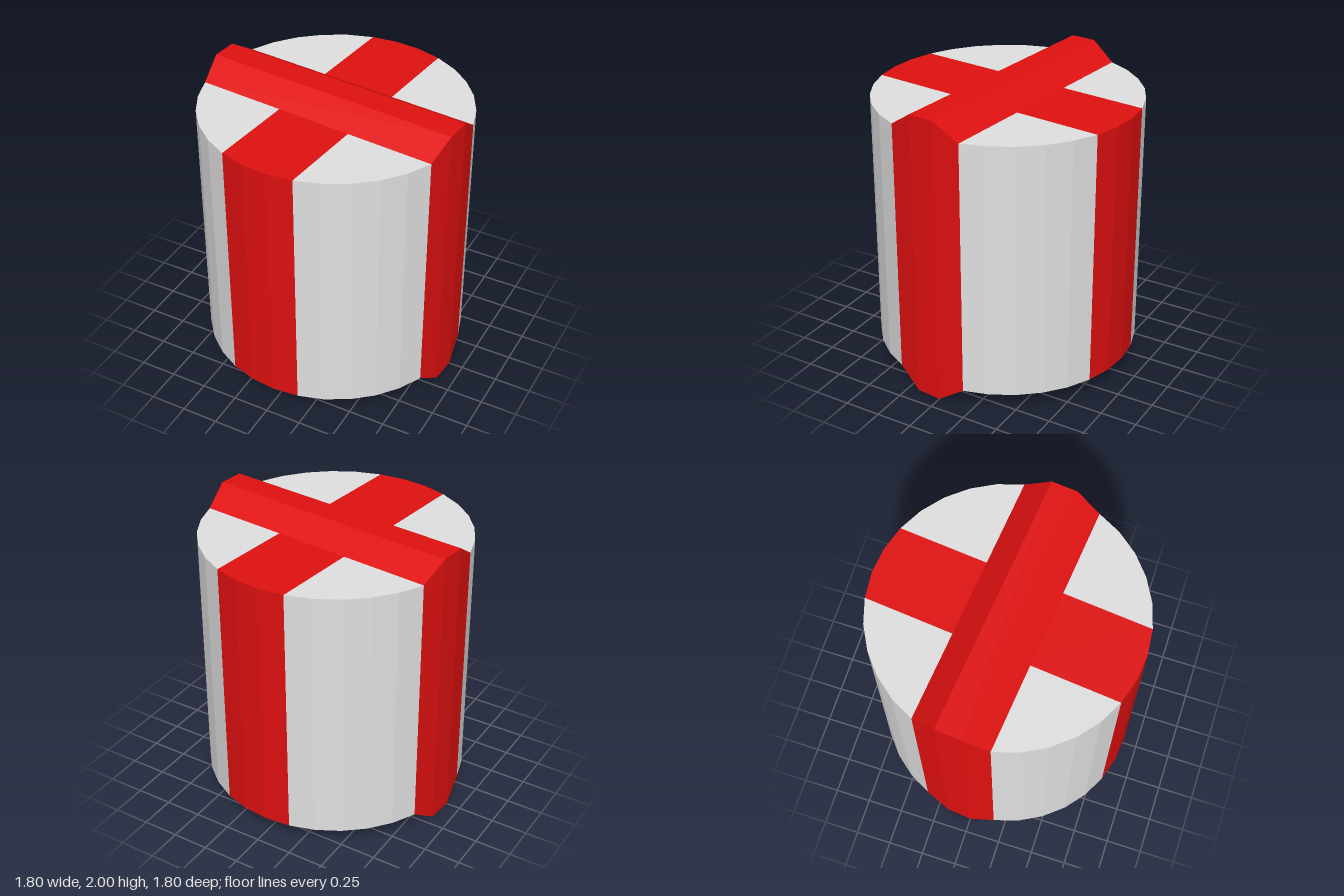
import * as THREE from 'three';

const SIDES = 32, RADIUS = 0.9, LOW = 0.115, HIGH = 1.885;

// Point at a fractional side index, turning from +x towards +z
const at = (i, y, r = RADIUS) => {
  const a = (i / SIDES) * Math.PI * 2;
  return new THREE.Vector3(Math.cos(a) * r, y, Math.sin(a) * r);
};

// Radius where the edges of two crossing bands meet
const CROSS = RADIUS * Math.cos((6.5 / SIDES) * Math.PI * 2) * Math.SQRT2;

// The ridge rises above the caps on the two middle corners of each end
const rise = (i) => ([0, 1, 16, 17].includes(i) ? LOW : 0);

// Flat-shaded mesh from convex polygons, each fanned from its first point
function polyMesh(name, polygons, material) {
  const points = [];
  for (const p of polygons) {
    for (let i = 1; i < p.length - 1; i++) points.push(p[0], p[i], p[i + 1]);
  }
  const geometry = new THREE.BufferGeometry().setFromPoints(points);
  geometry.computeVertexNormals();
  const mesh = new THREE.Mesh(geometry, material);
  mesh.name = name;
  return mesh;
}

// Wall facets between two side indices
function wall(from, to, lift = () => 0) {
  const quads = [];
  for (let i = from; i < to; i++) {
    quads.push([
      at(i, LOW - lift(i)), at(i, HIGH + lift(i)),
      at(i + 1, HIGH + lift(i + 1)), at(i + 1, LOW - lift(i + 1)),
    ]);
  }
  return quads;
}

// One flat outline made into a top and a bottom face
const caps = (outline) => [outline(HIGH).reverse(), outline(LOW)];

function rim(from, to, y) {
  const pts = [];
  for (let i = from; i <= to; i++) pts.push(at(i, y));
  return pts;
}

export function createModel() {
  const group = new THREE.Group();
  group.name = 'bandedDrum';
  const grey = new THREE.MeshStandardMaterial({ color: 0xe0e0e0 });
  grey.name = 'lightGrey';
  const red = new THREE.MeshStandardMaterial({ color: 0xe01010 });
  red.name = 'red';

  // Four grey quarters of the drum
  for (let k = 0; k < 4; k++) {
    const s = 8 * k;
    group.add(polyMesh('drumQuarter', [
      ...wall(s + 2, s + 7),
      ...caps((y) => [at(s + 4.5, y, CROSS), ...rim(s + 2, s + 7, y)]),
    ], grey));
  }

  // Flush red band on the front and back
  for (const s of [8, 24]) {
    group.add(polyMesh('flushBand', [
      ...wall(s - 1, s + 2),
      ...caps((y) => [at(s - 3.5, y, CROSS), ...rim(s - 1, s + 2, y), at(s + 4.5, y, CROSS)]),
    ], red));
  }

  // Red band on the sides, raised into a bevelled ridge over both caps
  const ridge = [...wall(-1, 2, rise), ...wall(15, 18, rise)];
  for (let i = -1; i < 2; i++) {
    const corners = [i, 17 - i, 16 - i, i + 1];
    ridge.push(corners.map((c) => at(c, HIGH + rise(c))));
    ridge.push(corners.map((c) => at(c, LOW - rise(c))).reverse());
  }
  group.add(polyMesh('raisedBand', ridge, red));

  return group;
}
